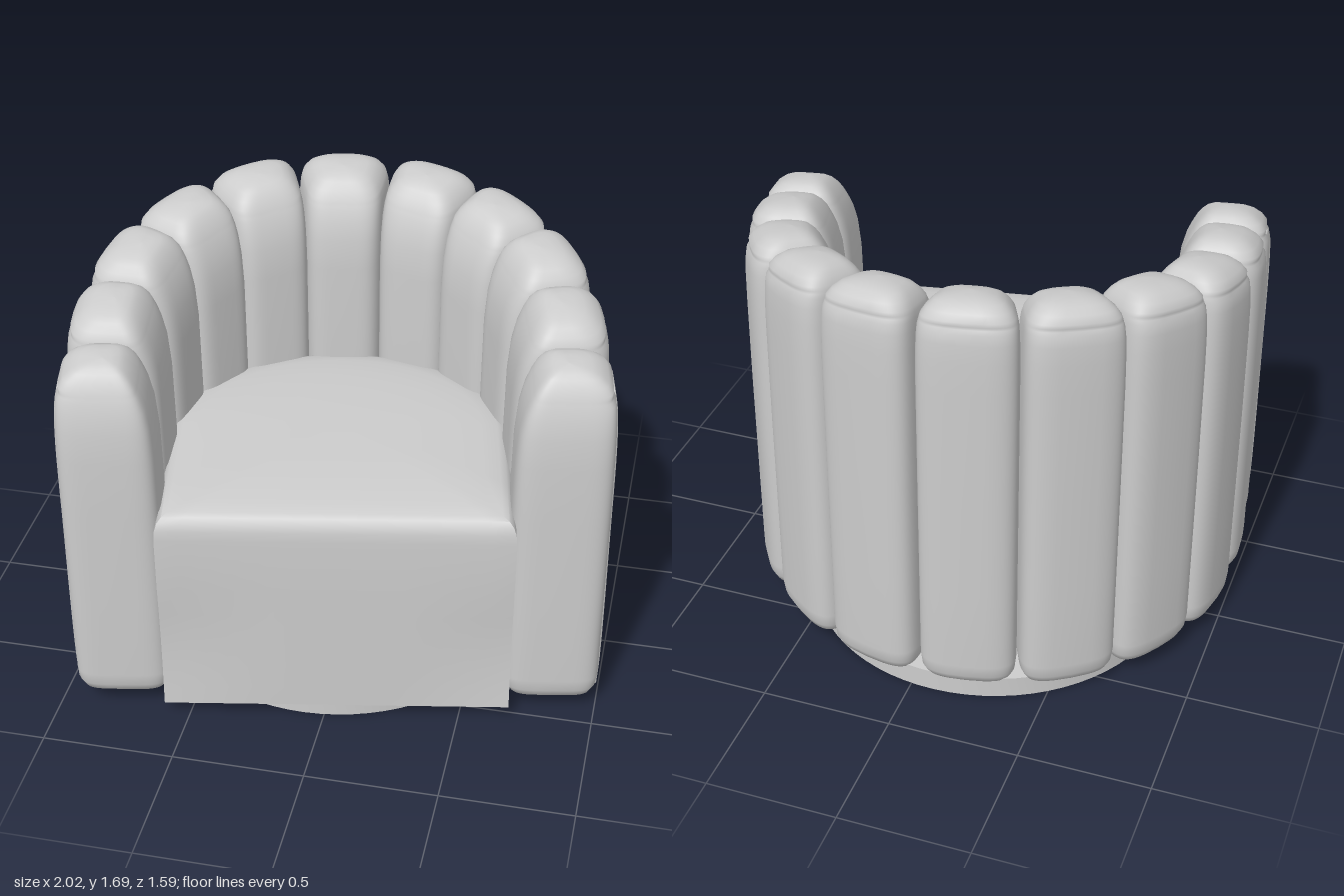
import * as THREE from 'three';
import { toCreasedNormals } from 'three/addons/utils/BufferGeometryUtils.js';

const fabric = new THREE.MeshStandardMaterial({ color: 0xcccccc });
fabric.name = 'grey fabric';

// Skin a closed plan loop through stacked levels; place(point, level) gives [x, y, z].
function skin(plan, levels, place) {
  const n = plan.length, pos = [], index = [];
  for (const level of levels) for (const p of plan) pos.push(...place(p, level));
  for (let j = 0; j < levels.length - 1; j++) {
    for (let i = 0; i < n; i++) {
      const a = j * n + i, b = j * n + (i + 1) % n;
      index.push(a, a + n, b, b, a + n, b + n);
    }
  }
  const geo = new THREE.BufferGeometry();
  geo.setAttribute('position', new THREE.Float32BufferAttribute(pos, 3));
  geo.setIndex(index);
  geo.computeVertexNormals();
  return geo;
}

// One padded upright channel: local +x points away from the seat.
function channelGeometry(angle, H, outerHalf, innerHalf, isArm) {
  const R = 0.18, W = 0.17, plan = [];
  for (let i = 0; i < 64; i++) plan.push((i / 64) * Math.PI * 2);
  // Levels: height, then inset on the outer face, inner face and flanks, then corner softness
  const levels = [
    [0.052, R, R, W, 0.6], [0.053, 0.09, 0.09, 0.08, 0.5], [0.06, 0.05, 0.05, 0.04, 0.45],
    [0.078, 0.022, 0.022, 0.018, 0.42], [0.11, 0.006, 0.006, 0.005, 0.42],
    [0.16, 0, 0, 0, 0.42], [0.5, 0, 0, 0, 0.42], [0.9, 0, 0, 0, 0.42],
    [H - 0.34, 0.002, 0.004, 0, 0.42], [H - 0.22, 0.004, 0.015, 0.001, 0.42],
    [H - 0.15, 0.008, 0.032, 0.003, 0.42], [H - 0.11, 0.014, 0.048, 0.006, 0.43],
    [H - 0.095, 0.024, 0.055, 0.009, 0.43], [H - 0.085, 0.025, 0.06, 0.011, 0.44],
    [H - 0.07, 0.024, 0.067, 0.015, 0.45], [H - 0.045, 0.042, 0.083, 0.03, 0.48],
    [H - 0.022, 0.072, 0.104, 0.054, 0.54], [H - 0.01, 0.1, 0.124, 0.082, 0.62],
    [H - 0.003, 0.135, 0.148, 0.12, 0.75], [H, R, R, W, 1],
  ];
  const power = (v, e) => Math.sign(v) * Math.pow(Math.abs(v), e);
  return skin(plan, levels, (a, [y, outer, inner, flank, soft]) => {
    const px = power(Math.cos(a), soft), pz = power(Math.sin(a), soft), w = (px + 1) / 2;
    // The open front of an arm is domed like its inner face
    const facing = isArm ? Math.max(0, pz * Math.cos(angle)) : 0;
    const side = flank / W + (inner / R - flank / W) * facing;
    const z = pz * (innerHalf + (outerHalf - innerHalf) * w) * (1 - side);
    const bow = isArm ? 0 : 0.62 * z * z;
    const x = px * (R - inner - (outer - inner) * w) - bow * w;
    const forward = -x * Math.sin(angle) + z * Math.cos(angle);
    const tilt = y > 0.5 ? -0.19 * forward * (y - 0.5) / (H - 0.5) : 0;
    return [x, y + tilt, z];
  });
}

function seatGeometry() {
  // D-shaped plan: straight front, straight sides, round back
  const plan = [], cz = 0.14;
  for (let i = 0; i < 16; i++) plan.push([0.65 - 1.3 * i / 16, 0.728]);
  plan.push([-0.65, 0.728], [-0.65, 0.5], [-0.65, 0.3]);
  for (let i = 0; i <= 24; i++) {
    const a = Math.PI + (i / 24) * Math.PI;
    plan.push([Math.cos(a) * 0.65, 0.1 + Math.sin(a) * 0.55]);
  }
  plan.push([0.65, 0.3], [0.65, 0.5]);
  const levels = [
    [0.06, 0], [0.06, 1], [0.14, 1], [0.24, 1], [0.36, 1], [0.48, 1], [0.6, 1], [0.82, 1],
    [0.86, 0.995], [0.89, 0.98], [0.908, 0.955], [0.918, 0.92], [0.928, 0.83],
    [0.94, 0.65], [0.947, 0.4], [0.95, 0],
  ];
  const geo = skin(plan, levels, ([x, z], [y, k]) => {
    // Soft fabric pull at the lower front corners
    const t = THREE.MathUtils.clamp((y - 0.06) / 0.54, 0, 1);
    const pull = z > 0.7 ? 0.015 * Math.max(0, (Math.abs(x) - 0.25) / 0.4) * Math.sin(t * Math.PI) : 0;
    return [x * k, y, cz + (z - pull - cz) * k];
  });
  return toCreasedNormals(geo, 0.9);
}

export function createModel() {
  const model = new THREE.Group();
  const chair = new THREE.Group();
  chair.name = 'tubChair';
  chair.position.set(-0.085, 0, -0.055);
  chair.rotation.y = THREE.MathUtils.degToRad(10.6);
  model.add(chair);

  const add = (name, geo, parent = chair) => {
    const mesh = new THREE.Mesh(geo, fabric);
    mesh.name = name;
    parent.add(mesh);
    return mesh;
  };

  // Channels from arm to back: x, z, angle toward the back, height, outer and inner half widths
  const channels = [
    ['arm', 0.81, 0.543, 0, 1.475, 0.15, 0.15],
    ['sideFront', 0.8, 0.235, 5, 1.54, 0.172, 0.162],
    ['sideRear', 0.735, -0.078, 20, 1.595, 0.188, 0.143],
    ['backCorner', 0.575, -0.324, 42, 1.64, 0.194, 0.136],
    ['backSide', 0.32, -0.505, 66, 1.67, 0.194, 0.136],
    ['backCentre', 0, -0.563, 90, 1.68, 0.194, 0.136],
  ];
  for (const [name, x, z, degrees, height, outer, inner] of channels) {
    for (const side of x ? [1, -1] : [1]) {
      const a = THREE.MathUtils.degToRad(degrees);
      const angle = side > 0 ? a : Math.PI - a;
      const label = x ? (side > 0 ? 'left ' : 'right ') + name : name;
      const isArm = name === 'arm';
      const channel = add(label + ' channel', channelGeometry(angle, height, outer, inner, isArm));
      channel.position.set(side * x, 0, z);
      channel.rotation.y = angle;
      if (isArm) {
        // Piping up the outer face of the arm, curving into the top seam
        const path = new THREE.CatmullRomCurve3([
          [0.17, 0.09, 0.066], [0.175, 0.2, 0.066], [0.175, 0.8, 0.066], [0.172, 1.2, 0.064],
          [0.166, 1.32, 0.045], [0.157, 1.375, 0], [0.153, 1.395, -0.08],
        ].map(([px, py, pz]) => new THREE.Vector3(px, py, pz * side)));
        add(label + ' piping', new THREE.TubeGeometry(path, 40, 0.008, 8), channel);
      }
    }
  }

  add('seat', seatGeometry());

  // Swivel base: a flat ring with a recessed plate
  const ring = [[0.45, 0.09], [0.45, 0], [0.715, 0], [0.715, 0.085], [0.45, 0.09]];
  const ringGeo = new THREE.LatheGeometry(ring.map(([r, y]) => new THREE.Vector2(r, y)), 72);
  add('base ring', toCreasedNormals(ringGeo, 0.6));
  const plate = add('base plate', new THREE.CylinderGeometry(0.46, 0.46, 0.02, 64));
  plate.position.y = 0.075;

  return model;
}
